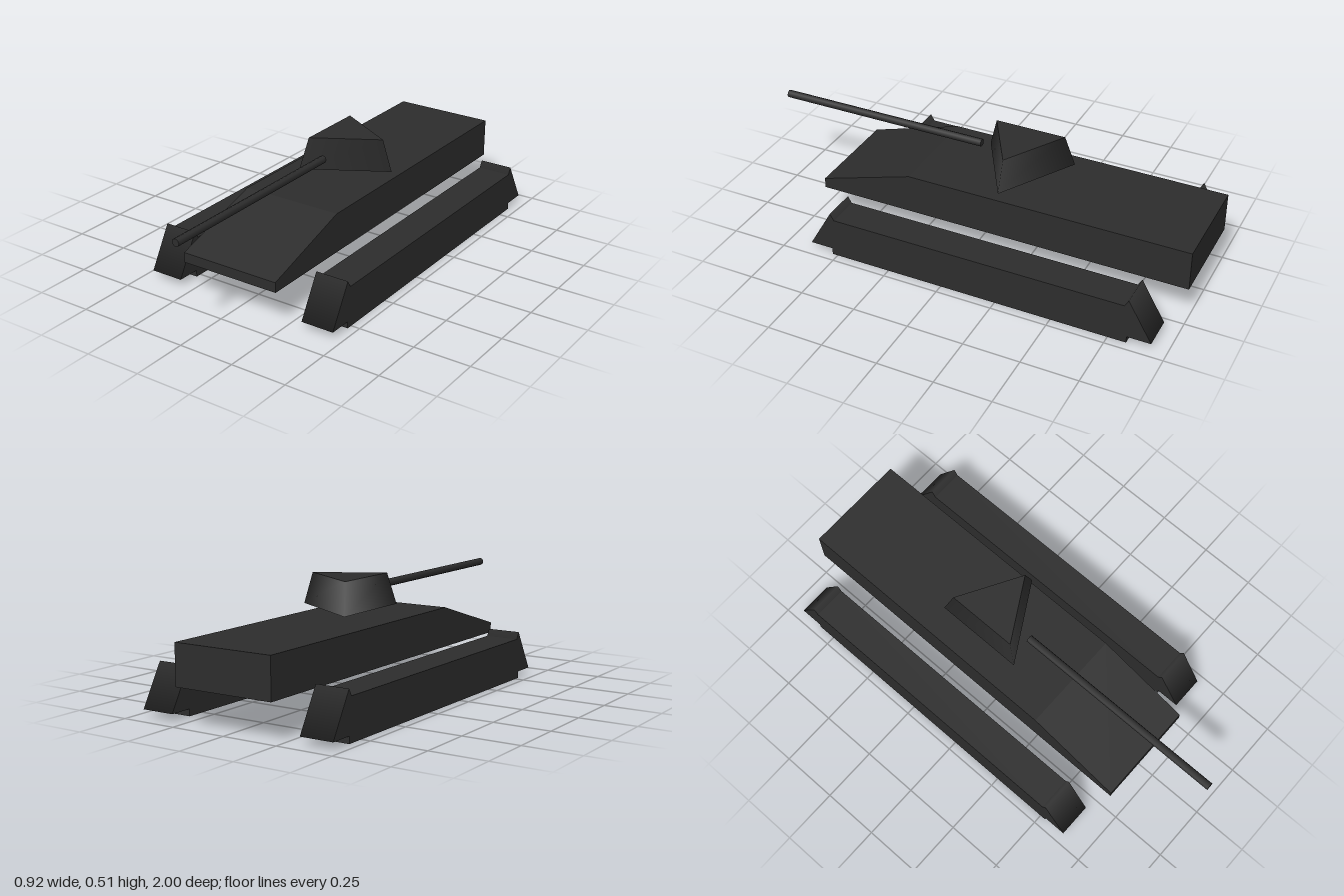
import * as THREE from 'three';

export function createModel() {
  const model = new THREE.Group();
  const charcoal = new THREE.MeshStandardMaterial({ name: 'charcoal', color: 0x2d2d2d });

  function add(name, geometry, x, y, z, parent = model) {
    const mesh = new THREE.Mesh(geometry, charcoal);
    mesh.name = name;
    mesh.position.set(x, y, z);
    parent.add(mesh);
    return mesh;
  }

  // Hull: side profile (z, y) extruded across the width
  const hullWidth = 0.46;
  const profile = new THREE.Shape([
    [0.69, 0.162], [0.69, 0.207], [0.265, 0.338], [-1, 0.338], [-1, 0.162],
  ].map(([z, y]) => new THREE.Vector2(z, y)));
  const hull = new THREE.ExtrudeGeometry(profile, { depth: hullWidth, bevelEnabled: false });
  hull.rotateY(-Math.PI / 2); // profile x -> z, depth -> -x
  add('hull', hull, hullWidth / 2, 0, 0);

  // Turret: three-sided tapered drum with one corner towards +x
  const turret = new THREE.CylinderGeometry(0.184, 0.23, 0.138, 3);
  turret.rotateY(Math.PI / 2);
  add('turret', turret, 0, 0.443, -0.155);

  // Gun barrel
  const barrel = new THREE.CylinderGeometry(0.0172, 0.0172, 0.97, 8);
  barrel.rotateX(Math.PI / 2);
  add('gunBarrel', barrel, 0, 0.443, 0.515);

  // Tracks: a long box with a three-sided wheel at each end
  const trackWidth = 0.15, frontZ = 0.525, rearZ = -0.83;
  const trackBox = new THREE.BoxGeometry(trackWidth, 0.18, frontZ - rearZ);
  const wheel = new THREE.CylinderGeometry(0.12, 0.12, trackWidth, 3);
  wheel.rotateZ(Math.PI / 2).rotateX(-Math.PI / 2); // axis along x, corner up
  for (const [side, sign] of [['left', 1], ['right', -1]]) {
    const track = new THREE.Group();
    track.name = side + 'Track';
    track.position.x = sign * 0.385;
    model.add(track);
    add(side + 'TrackBody', trackBox, 0, 0.09, (frontZ + rearZ) / 2, track);
    add(side + 'FrontWheel', wheel, 0, 0.09, frontZ, track);
    add(side + 'RearWheel', wheel, 0, 0.09, rearZ, track);
  }

  return model;
}
